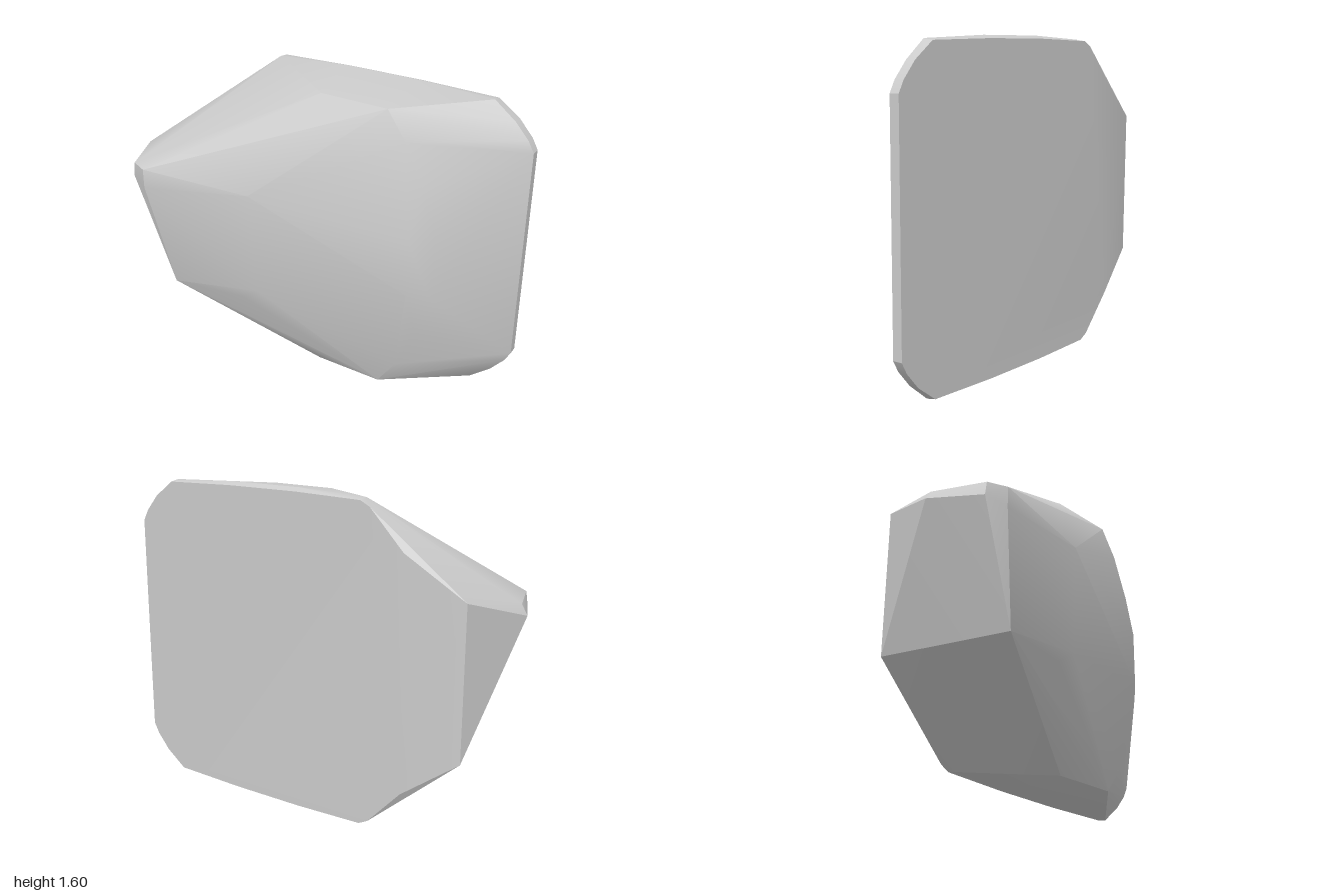
import * as THREE from 'three';
import { ConvexGeometry } from 'three/addons/geometries/ConvexGeometry.js';
import { toCreasedNormals } from 'three/addons/utils/BufferGeometryUtils.js';

const MID_Y = 0.8;

// Points given for the upper half [x, height above the middle, z], mirrored below it.
const mirrored = [
  // flat back plate
  [1, 0.56, -0.355], [0.97, 0.615, -0.355], [0.9, 0.695, -0.355], [0.79, 0.775, -0.355],
  [0.4, 0.785, -0.355], [0, 0.785, -0.355], [-0.37, 0.775, -0.355], [-0.42, 0.75, -0.355], [-0.6, 0.565, -0.355],
  // rim just in front of the plate
  [1, 0.56, -0.305], [0.97, 0.615, -0.305], [0.9, 0.695, -0.305], [0.79, 0.783, -0.305],
  [0.4, 0.8, -0.315], [0, 0.8, -0.315], [-0.37, 0.783, -0.305],
  // shoulder and curved edge toward the +x side
  [0.04, 0.762, -0.01], [0.4, 0.762, 0.005], [0.5, 0.62, 0.01], [0.6, 0.4, 0.01], [0.67, 0.18, 0],
  // crest inside the curved edge
  [0.57, 0.145, 0.075],
];

// Points of the lopsided nose on the -x side.
const nose = [
  // rear slanted panel
  [-0.89, 1.17, -0.3], [-0.88, 0.43, -0.3],
  // outer tip
  [-0.97, 1.11, 0.06], [-1, 1.06, 0.06],
  // front tip
  [-0.87, 1.11, 0.31], [-0.88, 1.04, 0.31], [-0.78, 1.11, 0.355], [-0.78, 1.01, 0.355],
  // front panel corners
  [-0.67, 0.46, 0.29], [-0.28, 0.46, 0.24], [-0.18, 0.53, 0.25], [-0.2, 1.08, 0.28],
];

export function createModel() {
  const group = new THREE.Group();
  group.name = 'facetedShell';

  const points = nose.map((p) => new THREE.Vector3(...p));
  for (const [x, h, z] of mirrored) {
    points.push(new THREE.Vector3(x, MID_Y + h, z), new THREE.Vector3(x, MID_Y - h, z));
  }

  // Convex body with soft shading across shallow bends
  const geometry = toCreasedNormals(new ConvexGeometry(points), 0.4);
  const body = new THREE.Mesh(geometry, new THREE.MeshStandardMaterial({ color: 0xcccccc }));
  body.name = 'body';
  group.add(body);
  return group;
}
